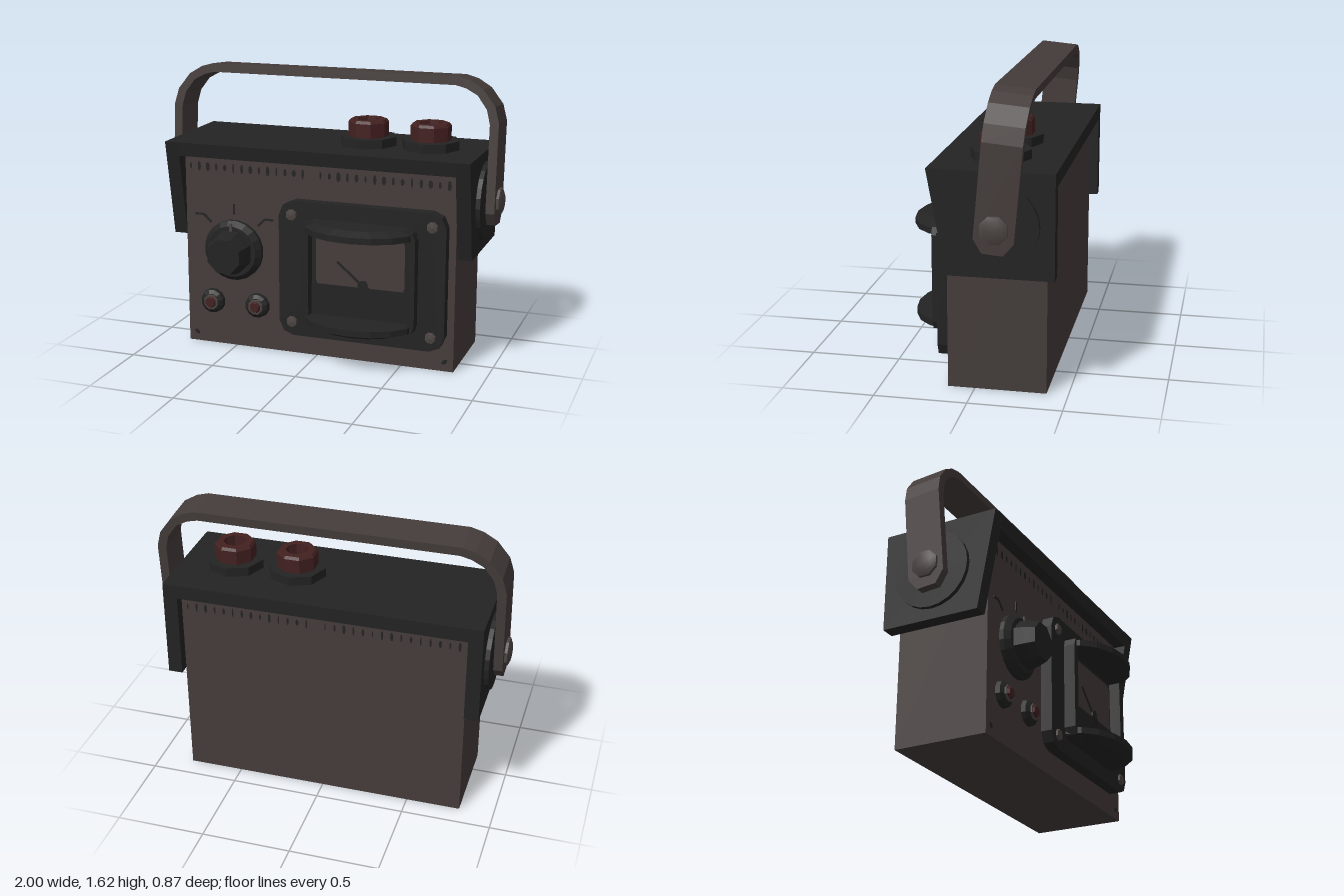
import * as THREE from 'three';
import { toCreasedNormals } from 'three/addons/utils/BufferGeometryUtils.js';

const mat = (name, color) => Object.assign(new THREE.MeshStandardMaterial({ color }), { name });

export function createModel() {
  const root = new THREE.Group();
  root.name = 'portableMeter';
  const casing = mat('brown grey casing', 0x443c3a);
  const black = mat('black plastic', 0x232323);
  const red = mat('dark red', 0x432020);
  const steel = mat('grey steel', 0x4b4442);

  const flat = (g) => {
    const n = g.index ? g.toNonIndexed() : g;
    n.computeVertexNormals();
    return n;
  };
  const add = (name, geo, material, x = 0, y = 0, z = 0, parent = root) => {
    const m = new THREE.Mesh(geo, material);
    m.name = name;
    m.position.set(x, y, z);
    parent.add(m);
    return m;
  };
  const box = (w, h, d) => new THREE.BoxGeometry(w, h, d);
  const poly = (pts) => new THREE.Shape(pts.map(([x, y]) => new THREE.Vector2(x, y)));
  const extrude = (shape, depth) => new THREE.ExtrudeGeometry(shape, { depth, bevelEnabled: false });
  // Rectangle with cut corners, centred on the origin
  const cutRect = (hw, hh, c) => {
    const k = c * 0.3;
    const q = [[hw, hh - c], [hw - k, hh - k], [hw - c, hh]];
    const flip = (sx, sy) => q.map(([x, y]) => [x * sx, y * sy]);
    return poly([...flip(1, 1), ...flip(-1, 1).reverse(), ...flip(-1, -1), ...flip(1, -1).reverse()]);
  };
  // Turned part with its axis along +z
  const turnedZ = (profile, sides, spin = Math.PI / sides) => {
    const g = new THREE.LatheGeometry(profile.map(([r, h]) => new THREE.Vector2(r, h)), sides);
    return flat(g.rotateY(spin).rotateX(Math.PI / 2));
  };

  // Main case
  add('case', box(1.61, 1.14, 0.53), casing, 0, 0.57, -0.12);

  // Overhanging cover: two side cheeks and a top plate with sloping fronts
  const cheek = poly([[-0.435, 0.65], [0.13, 0.65], [0.23, 1.21], [-0.435, 1.21]]);
  const lid = poly([[-0.435, 1.13], [0.216, 1.13], [0.23, 1.21], [-0.435, 1.21]]);
  const across = (shape, depth) => extrude(shape, depth).rotateY(-Math.PI / 2);
  add('coverTop', across(lid, 1.62), black, 0.81);
  for (const s of [1, -1]) {
    const side = s > 0 ? 'left' : 'right';
    add(side + 'CoverCheek', across(cheek, 0.08), black, s > 0 ? 0.89 : -0.81);
    const disc = new THREE.CylinderGeometry(0.22, 0.22, 0.03, 24).rotateZ(Math.PI / 2);
    add(side + 'PivotDisc', flat(disc), black, s * 0.9, 0.93, -0.14);
    const bolt = new THREE.LatheGeometry(
      [[0, 0], [0.078, 0], [0.078, 0.035], [0.05, 0.047], [0, 0.05]].map(([r, h]) => new THREE.Vector2(r, h)), 8);
    bolt.rotateY(Math.PI / 8).rotateZ(-s * Math.PI / 2);
    add(side + 'PivotBolt', toCreasedNormals(bolt, 0.7), steel, s * 0.95, 0.93, -0.138);
  }

  // Carrying handle: strap sections [outer x, outer y, inner x, inner y, half width]
  const half = [
    [0.97, -0.13, 0.92, -0.13, 0.055], [0.97, -0.06, 0.92, -0.06, 0.105],
    [0.97, 0.44, 0.92, 0.43, 0.105], [0.945, 0.53, 0.9, 0.51, 0.105],
    [0.875, 0.62, 0.845, 0.585, 0.105], [0.8, 0.665, 0.78, 0.62, 0.105],
    [0.73, 0.685, 0.72, 0.635, 0.105],
  ];
  const sections = [...half, ...half.map(([a, b, c, d, w]) => [-a, b, -c, d, w]).reverse()];
  const verts = [];
  const idx = [];
  sections.forEach(([ox, oy, ix, iy, w], i) => {
    verts.push(ox, oy, w, ox, oy, -w, ix, iy, -w, ix, iy, w);
    if (!i) return;
    const a = (i - 1) * 4, b = i * 4;
    for (let k = 0; k < 4; k++) {
      const n = (k + 1) % 4;
      idx.push(a + k, a + n, b + n, a + k, b + n, b + k);
    }
  });
  const e = (sections.length - 1) * 4;
  idx.push(0, 2, 1, 0, 3, 2, e, e + 1, e + 2, e, e + 2, e + 3);
  const strap = new THREE.BufferGeometry();
  strap.setAttribute('position', new THREE.Float32BufferAttribute(verts, 3));
  strap.setIndex(idx);
  add('handle', flat(strap), casing, 0, 0.93, -0.14).rotation.x = -0.09;

  // Terminals on the top
  for (const x of [0.222, 0.585]) {
    const base = new THREE.CylinderGeometry(0.163, 0.163, 0.055, 8);
    add('terminalBase', flat(base), black, x, 1.233, -0.1);
    const ring = new THREE.LatheGeometry(
      [[0.115, 0], [0.115, 0.08], [0.103, 0.095], [0.065, 0.095], [0.06, 0.01], [0, 0.01]]
        .map(([r, h]) => new THREE.Vector2(r, h)), 8).rotateY(Math.PI / 8);
    add('terminalCap', flat(ring), red, x, 1.26, -0.1);
  }

  // Selector dial with scale marks
  const dial = new THREE.Group();
  dial.name = 'selectorDial';
  dial.position.set(-0.505, 0.585, 0.145);
  root.add(dial);
  add('dialSkirt', turnedZ([[0, 0], [0.178, 0], [0.178, 0.025], [0.15, 0.055], [0, 0.055]], 20), black, 0, 0, 0, dial);
  add('dialKnob', turnedZ([[0, 0.05], [0.132, 0.05], [0.125, 0.11], [0.105, 0.168], [0, 0.168]], 8), black, 0, 0, 0, dial);
  add('dialPointer', box(0.018, 0.045, 0.008), steel, 0, 0.145, 0.056, dial);
  const mark = (x1, y1, x2, y2) => {
    const m = add('scaleMark', box(Math.hypot(x2 - x1, y2 - y1), 0.012, 0.006), black,
      (x1 + x2) / 2, (y1 + y2) / 2, 0.002, dial);
    m.rotation.z = Math.atan2(y2 - y1, x2 - x1);
  };
  mark(0, 0.21, 0, 0.27);
  for (const s of [1, -1]) {
    mark(s * 0.145, 0.152, s * 0.19, 0.195);
    mark(s * 0.19, 0.195, s * 0.243, 0.195);
  }

  // Indicator lamps
  for (const x of [-0.645, -0.365]) {
    add('lampHousing', turnedZ([[0, 0], [0.074, 0], [0.07, 0.025], [0.05, 0.04], [0, 0.04]], 12), black, x, 0.262, 0.145);
    add('lampCollar', turnedZ([[0, 0.04], [0.047, 0.04], [0.044, 0.048], [0, 0.048]], 8), steel, x, 0.262, 0.145);
    add('lampLens', turnedZ([[0, 0.045], [0.036, 0.045], [0.028, 0.06], [0, 0.06]], 8), red, x, 0.262, 0.145);
  }

  // Gauge
  const gauge = new THREE.Group();
  gauge.name = 'gauge';
  gauge.position.set(0.28, 0.525, 0.145);
  root.add(gauge);
  add('gaugePlate', flat(extrude(cutRect(0.485, 0.395, 0.085), 0.065)), black, 0, 0, 0, gauge);
  const frame = cutRect(0.33, 0.305, 0.06);
  frame.holes.push(poly([[-0.285, -0.25], [-0.285, 0.25], [0.285, 0.25], [0.285, -0.25]]));
  add('gaugeFrame', flat(extrude(frame, 0.065)), black, 0, 0, 0.065, gauge);
  add('gaugeFace', flat(extrude(cutRect(0.258, 0.145, 0.025), 0.008)), casing, 0, 0.075, 0.066, gauge);
  add('gaugeLowerPanel', box(0.57, 0.185, 0.02), black, 0, -0.1575, 0.07, gauge);
  add('needle', box(0.2, 0.012, 0.006), black, -0.055, 0.01, 0.08, gauge).rotation.z = -0.7;
  add('needleTail', box(0.1, 0.03, 0.006), black, 0.04, -0.065, 0.084, gauge).rotation.z = -0.7;
  add('needleHub', turnedZ([[0, 0], [0.03, 0], [0.03, 0.01], [0, 0.01]], 8), black, 0.02, -0.05, 0.078, gauge);

  // Curved guards above and below the gauge window
  for (const s of [1, -1]) {
    const guard = new THREE.LatheGeometry(
      [[0, 0], [0.322, 0], [0.322, 0.035], [0.25, 0.06], [0, 0.06]].map(([r, h]) => new THREE.Vector2(r, h)),
      8, -Math.PI / 2, Math.PI).scale(1, 1, 0.69);
    const m = add(s > 0 ? 'upperGuard' : 'lowerGuard', flat(guard), black, 0, s * 0.245, 0.065, gauge);
    if (s < 0) m.rotation.z = Math.PI;
    for (const t of [1, -1]) {
      add('gaugeScrew', turnedZ([[0, 0], [0.034, 0], [0.03, 0.012], [0, 0.016]], 8), steel, t * 0.408, s * 0.315, 0.065, gauge);
    }
  }

  // Row of small vent slots along the top of the case, front and back
  const slot = new THREE.CircleGeometry(1, 8);
  for (let i = 0; i < 30; i++) {
    const x = -0.77 + i * 0.0528;
    if (i === 14) continue;
    const w = 0.006 + 0.007 * ((i * 7) % 5) / 4;
    const h = 0.02 + 0.01 * ((i * 3) % 4) / 3;
    add('ventSlot', slot, black, x, 1.063, 0.147).scale.set(w, h, 1);
    const back = add('ventSlot', slot, black, -x, 1.063, -0.387);
    back.rotation.y = Math.PI;
    back.scale.set(w * 0.7, h, 1);
  }
  for (const s of [1, -1]) {
    const chip = add('cornerMark', slot, black, s * 0.755, 0.055, 0.147);
    chip.scale.set(0.02, 0.012, 1);
    chip.rotation.z = s * 0.7;
  }
  return root;
}
